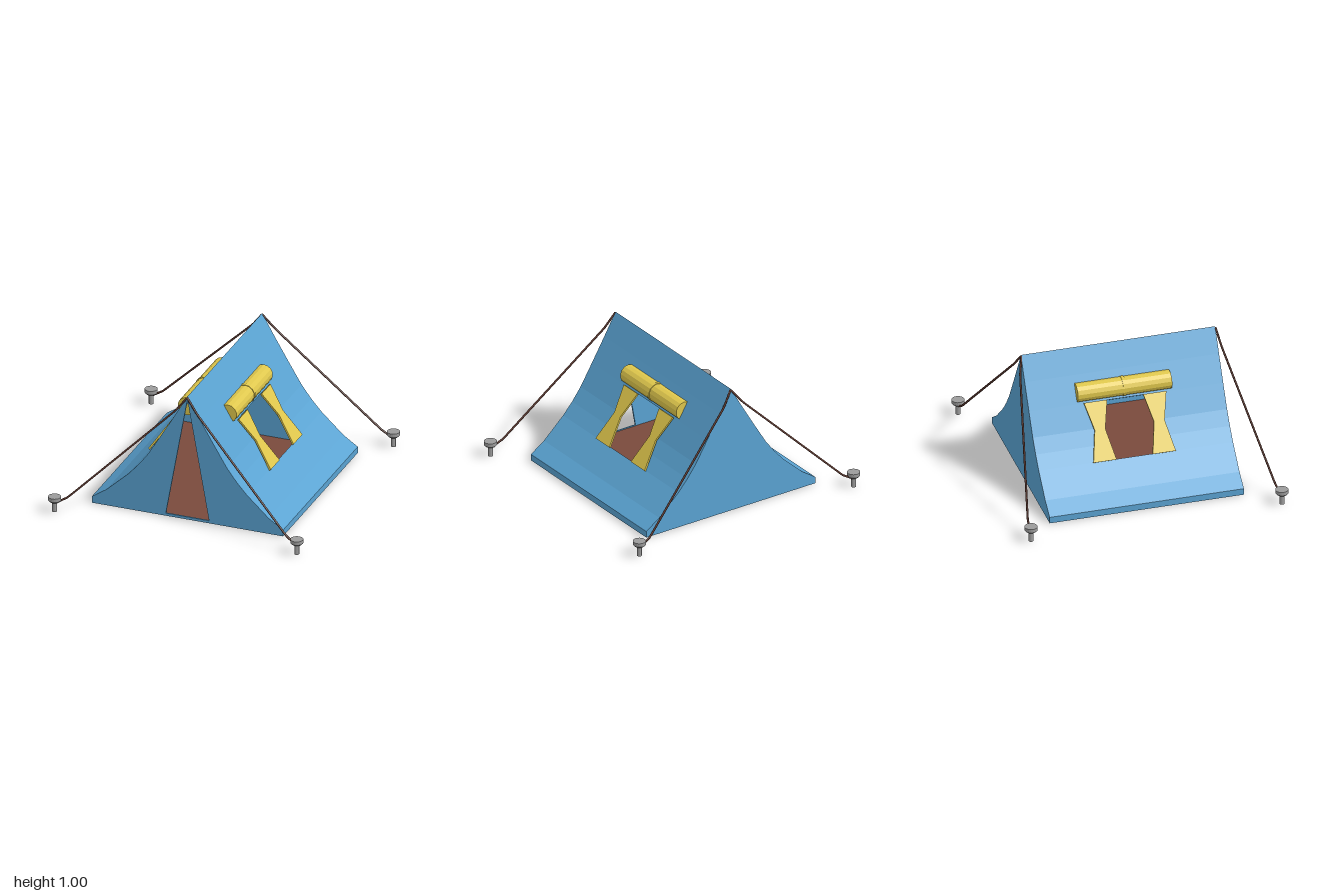
import * as THREE from 'three';

// Half outline of the tent, from the ridge down to the hem
const PROFILE = [[0, 1], [0.1, 0.825], [0.21, 0.64], [0.31, 0.475], [0.385, 0.375],
  [0.465, 0.285], [0.635, 0.128], [0.75, 0.05], [0.75, 0]];
const FRONT = 0.72, BACK = -0.755, WINDOW_Z = -0.03, WINDOW_HALF = 0.215;

const material = (name, color, side = THREE.FrontSide) =>
  new THREE.MeshStandardMaterial({ name, color, side });

function flat(geometry) {
  const g = geometry.index ? geometry.toNonIndexed() : geometry;
  g.computeVertexNormals();
  return g;
}

// One sloping side, strip by strip, leaving a window opening
function sideWall(sign) {
  const pos = [];
  const quad = (a, b, z0, z1) => {
    const c = [[a[0] * sign, a[1], z0], [b[0] * sign, b[1], z0],
      [b[0] * sign, b[1], z1], [a[0] * sign, a[1], z1]];
    const order = sign > 0 ? [0, 2, 1, 0, 3, 2] : [0, 1, 2, 0, 2, 3];
    // z0 is the front edge
    order.reverse().forEach((i) => pos.push(...c[i]));
  };
  for (let i = 0; i < PROFILE.length - 1; i++) {
    const a = PROFILE[i], b = PROFILE[i + 1];
    if (a[1] <= 0.64 && b[1] >= 0.285) {
      quad(a, b, FRONT, WINDOW_Z + WINDOW_HALF);
      quad(a, b, WINDOW_Z - WINDOW_HALF, BACK);
    } else quad(a, b, FRONT, BACK);
  }
  const g = new THREE.BufferGeometry();
  g.setAttribute('position', new THREE.Float32BufferAttribute(pos, 3));
  g.computeVertexNormals();
  return g;
}

// Gable end, optionally with a triangular doorway
function gable(withDoor) {
  const left = PROFILE.slice(1).reverse().map(([x, y]) => [-x, y]);
  const shape = new THREE.Shape([...PROFILE, ...left].map(([x, y]) => new THREE.Vector2(x, y)));
  if (withDoor) {
    shape.holes.push(new THREE.Path([new THREE.Vector2(-0.17, 0.02),
      new THREE.Vector2(0, 0.975), new THREE.Vector2(0.17, 0.02)]));
  }
  return new THREE.ExtrudeGeometry(shape, { depth: 0.012, bevelEnabled: false });
}

// Pinched curtain strip lying on the slope
function curtain() {
  const low = new THREE.Vector3(0.472, 0.285, 0), high = new THREE.Vector3(0.222, 0.65, 0);
  const up = high.clone().sub(low), length = up.length();
  up.normalize();
  const w = 0.0875, p = 0.04, mid = length * 0.53;
  const shape = new THREE.Shape([[-w, 0], [w, 0], [p, mid], [w, length], [-w, length], [-p, mid]]
    .map(([x, y]) => new THREE.Vector2(x, y)));
  const g = new THREE.ExtrudeGeometry(shape, { depth: 0.014, bevelEnabled: false });
  g.translate(0, 0, -0.004);
  const across = new THREE.Vector3(0, 0, -1);
  const out = across.clone().cross(up);
  return g.applyMatrix4(new THREE.Matrix4().makeBasis(across, up, out).setPosition(low));
}

export function createModel() {
  const blue = material('blue canvas', 0x5aa3d2, THREE.DoubleSide);
  const yellow = material('yellow fabric', 0xdfc74c);
  const brown = material('brown floor', 0x7a4a3c);
  const dark = material('dark rope', 0x5a372e);
  const grey = material('grey metal', 0x9c9c9c);

  const model = new THREE.Group();
  const add = (parent, name, geometry, mat, x = 0, y = 0, z = 0) => {
    const mesh = new THREE.Mesh(geometry, mat);
    mesh.name = name;
    mesh.position.set(x, y, z);
    parent.add(mesh);
    return mesh;
  };

  // Canvas and floor
  add(model, 'leftWall', sideWall(1), blue);
  add(model, 'rightWall', sideWall(-1), blue);
  add(model, 'frontWall', gable(true), blue, 0, 0, FRONT - 0.012);
  add(model, 'backWall', gable(false), blue, 0, 0, BACK);
  add(model, 'floor', new THREE.BoxGeometry(1.494, 0.016, FRONT - BACK - 0.004), brown,
    0, 0.007, (FRONT + BACK) / 2);

  // Window dressing: rolled blind, its strap and two curtains, turned round for the other side
  const curtainGeo = curtain();
  const rollGeo = flat(new THREE.CylinderGeometry(0.071, 0.071, 0.715, 14).rotateX(Math.PI / 2));
  const strapGeo = flat(new THREE.CylinderGeometry(0.075, 0.075, 0.025, 14).rotateX(Math.PI / 2));
  for (const side of ['left', 'right']) {
    const dressing = new THREE.Group();
    dressing.name = side + 'Window';
    dressing.position.z = WINDOW_Z;
    if (side === 'right') dressing.rotation.y = Math.PI;
    add(dressing, 'blindRoll', rollGeo, yellow, 0.16, 0.71, 0);
    add(dressing, 'blindStrap', strapGeo, yellow, 0.16, 0.71, 0);
    for (const s of [-1, 1]) add(dressing, 'curtain', curtainGeo, yellow, 0, 0, s * 0.225);
    model.add(dressing);
  }

  // Pegs and guy ropes at the four corners
  const pegGeo = flat(new THREE.LatheGeometry([[0, 0], [0.018, 0], [0.018, 0.08], [0.036, 0.08],
    [0.048, 0.092], [0.048, 0.12], [0, 0.12]].map(([x, y]) => new THREE.Vector2(x, y)), 20));
  const ropeRuns = [
    { pegZ: 0.95, z: [0.722, 0.742, 0.925, 0.948] },
    { pegZ: -0.955, z: [-0.752, -0.785, -0.952, -0.956] },
  ];
  for (const { pegZ, z } of ropeRuns) {
    for (const s of [-1, 1]) {
      add(model, 'peg', pegGeo, grey, s * 0.95, 0, pegZ);
      const pts = [[0, 0.992], [0.085, 0.88], [0.855, 0.12], [0.945, 0.065]]
        .map(([x, y], i) => new THREE.Vector3(s * x, y, z[i]));
      const path = new THREE.CurvePath();
      for (let i = 0; i < 3; i++) path.add(new THREE.LineCurve3(pts[i], pts[i + 1]));
      add(model, 'guyRope', new THREE.TubeGeometry(path, 40, 0.008, 6), dark);
    }
  }
  return model;
}
